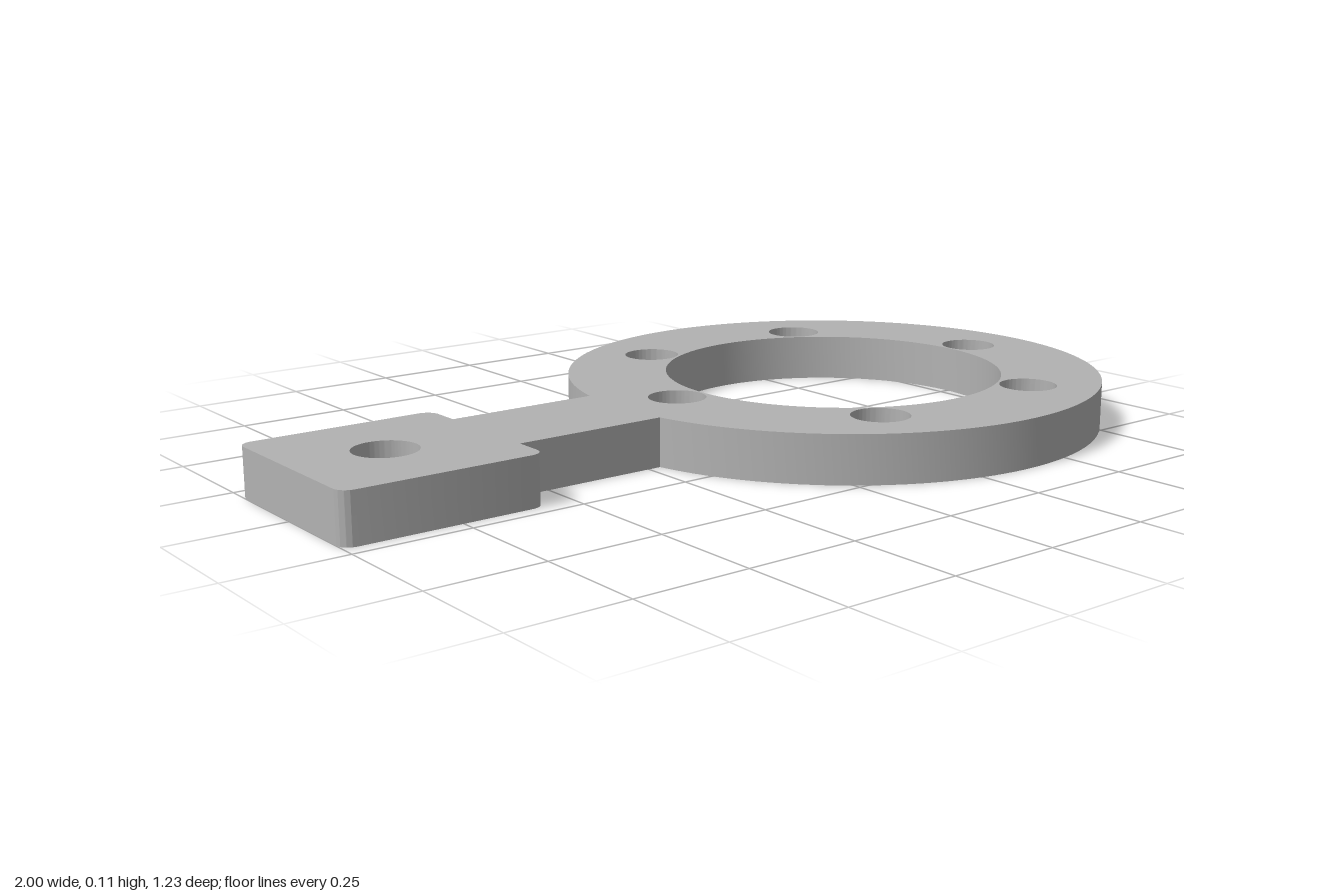
import * as THREE from 'three';
import { toCreasedNormals } from 'three/addons/utils/BufferGeometryUtils.js';

const THICKNESS = 0.107;
const RING = { x: 0.383, outer: 0.617, inner: 0.39, boltCircle: 0.46, boltHole: 0.064 };
const TAB = { left: -1, right: -0.565, half: 0.217, corner: 0.03, holeX: -0.792, hole: 0.068 };
const NECK_HALF = 0.127;

function circleHole(x, y, radius) {
  return new THREE.Path().absarc(x, y, radius, 0, Math.PI * 2, true);
}

// Outline of ring, neck and tab as one flat plate
function plateShape() {
  const { left, right, half, corner: c } = TAB;
  const neckAngle = Math.PI - Math.asin(NECK_HALF / RING.outer);
  const shape = new THREE.Shape();

  // Ring, counterclockwise from the lower side of the neck to the upper side
  shape.absarc(RING.x, 0, RING.outer, -neckAngle, neckAngle, false);

  // Neck and tab with rounded corners
  shape.lineTo(right, NECK_HALF);
  shape.lineTo(right, half - c);
  shape.absarc(right - c, half - c, c, 0, Math.PI / 2, false);
  shape.absarc(left + c, half - c, c, Math.PI / 2, Math.PI, false);
  shape.absarc(left + c, -half + c, c, Math.PI, Math.PI * 1.5, false);
  shape.absarc(right - c, -half + c, c, Math.PI * 1.5, Math.PI * 2, false);
  shape.lineTo(right, -NECK_HALF);
  shape.closePath();

  // Central opening, six bolt holes and the tab hole
  shape.holes.push(circleHole(RING.x, 0, RING.inner), circleHole(TAB.holeX, 0, TAB.hole));
  for (let i = 0; i < 6; i++) {
    const a = (i * Math.PI) / 3;
    shape.holes.push(circleHole(
      RING.x + RING.boltCircle * Math.cos(a), RING.boltCircle * Math.sin(a), RING.boltHole));
  }
  return shape;
}

export function createModel() {
  const group = new THREE.Group();
  group.name = 'ringBracket';
  const grey = new THREE.MeshStandardMaterial({ color: 0xb2b2b2 });
  grey.name = 'grey';

  const extruded = new THREE.ExtrudeGeometry(plateShape(), {
    depth: THICKNESS, bevelEnabled: false, curveSegments: 64,
  });
  extruded.rotateX(-Math.PI / 2); // lay flat on the ground
  const plate = new THREE.Mesh(toCreasedNormals(extruded, 0.5), grey);
  plate.name = 'bracketPlate';
  group.add(plate);
  return group;
}
